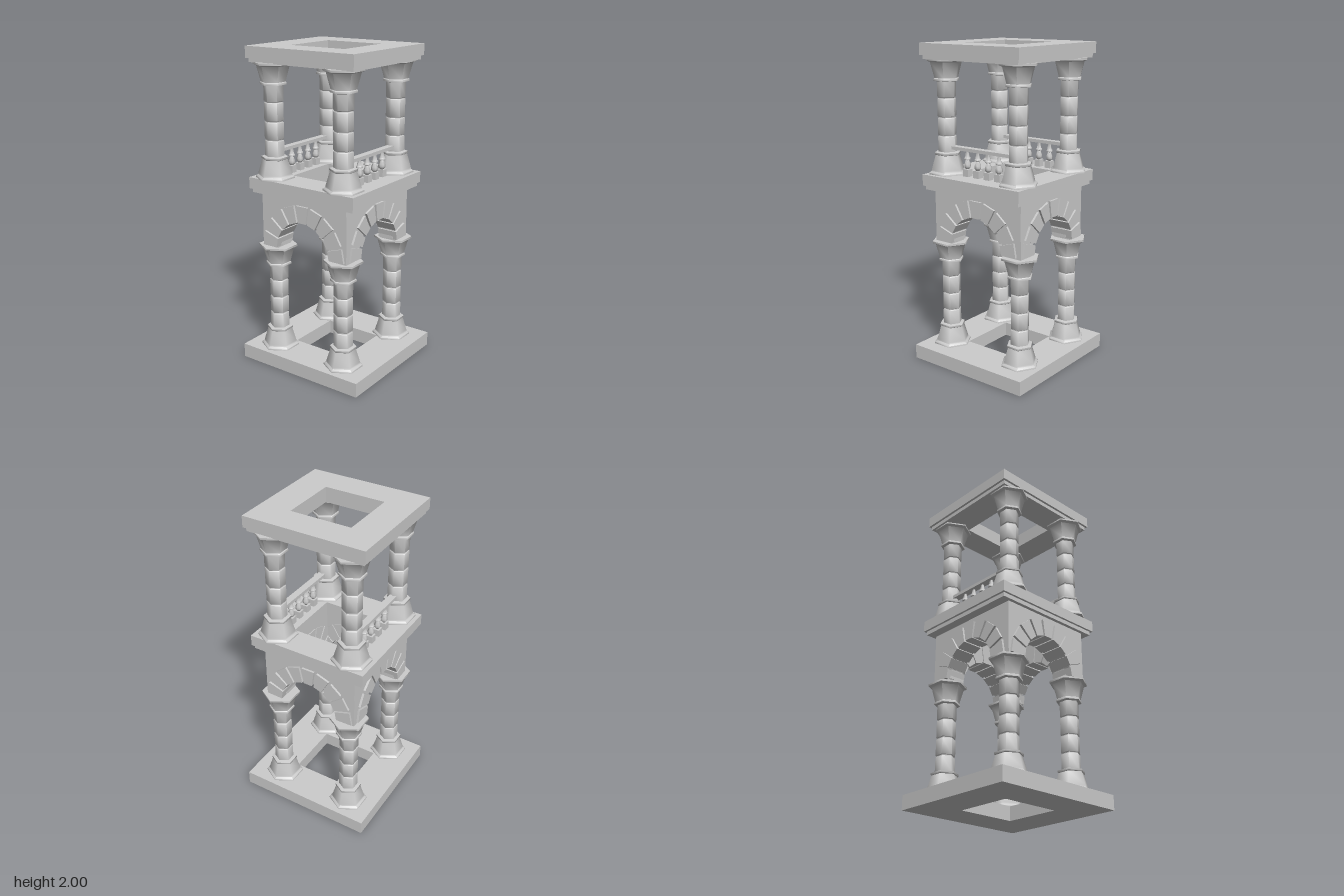
import * as THREE from 'three';
import { toCreasedNormals } from 'three/addons/utils/BufferGeometryUtils.js';

const grey = new THREE.MeshStandardMaterial({ color: 0xcccccc });

function add(parent, name, geometry, x = 0, y = 0, z = 0) {
  const mesh = new THREE.Mesh(geometry, grey);
  mesh.name = name;
  mesh.position.set(x, y, z);
  parent.add(mesh);
  return mesh;
}

// Flat rectangular slab with a square well through its middle
function slab(w, d, h) {
  const rect = (P, a, b) => new P([[-a, -b], [a, -b], [a, b], [-a, b]].map(p => new THREE.Vector2(...p)));
  const shape = rect(THREE.Shape, w / 2, d / 2);
  shape.holes.push(rect(THREE.Path, 0.183, 0.193));
  return new THREE.ExtrudeGeometry(shape, { depth: h, bevelEnabled: false }).rotateX(-Math.PI / 2);
}

// Six-sided turned part with a corner pointing along x
function turned(profile) {
  const points = profile.map(p => new THREE.Vector2(...p));
  return toCreasedNormals(new THREE.LatheGeometry(points, 6, Math.PI / 2), 1.1);
}

// Column: flared foot, shaft of four drums, flared capital
function columnGeometry() {
  const profile = [[0, 0], [0.121, 0], [0.121, 0.012], [0.106, 0.02], [0.104, 0.03],
    [0.078, 0.118], [0.083, 0.121], [0.083, 0.133], [0.06, 0.138]];
  for (const y of [0.235, 0.345, 0.46]) {
    profile.push([0.059, y - 0.006], [0.053, y - 0.002], [0.053, y + 0.002], [0.059, y + 0.006]);
  }
  profile.push([0.06, 0.558], [0.08, 0.562], [0.08, 0.574], [0.074, 0.578],
    [0.1, 0.672], [0.12, 0.68], [0.12, 0.692], [0, 0.692]);
  return turned(profile);
}

// Wall panel with a round arch; its outer face is at z = 0
function archWall(halfLength, height, thickness) {
  const shape = new THREE.Shape();
  shape.moveTo(-halfLength, 0);
  shape.lineTo(-0.207, 0);
  shape.absarc(0, 0, 0.207, Math.PI, 0, true);
  shape.lineTo(halfLength, 0);
  shape.lineTo(halfLength, height);
  shape.lineTo(-halfLength, height);
  shape.closePath();
  return new THREE.ExtrudeGeometry(shape, { depth: thickness, bevelEnabled: false, curveSegments: 20 })
    .translate(0, 0, -thickness);
}

// One wedge-shaped arch stone, centred on the +x axis
function archStone(depth) {
  const a = 0.145;
  const shape = new THREE.Shape();
  shape.moveTo(0.198 * Math.cos(a), -0.198 * Math.sin(a));
  shape.lineTo(0.304 * Math.cos(a), -0.304 * Math.sin(a));
  shape.lineTo(0.304 * Math.cos(a), 0.304 * Math.sin(a));
  shape.lineTo(0.198 * Math.cos(a), 0.198 * Math.sin(a));
  shape.closePath();
  return new THREE.ExtrudeGeometry(shape, { depth, bevelEnabled: false });
}

export function createModel() {
  const model = new THREE.Group();
  model.name = 'tower';
  const tower = new THREE.Group();
  tower.name = 'towerBody';
  tower.rotation.y = -0.008;
  model.add(tower);
  const cx = -0.008, cz = -0.005;

  // Base and the two stepped floors
  add(tower, 'baseSlab', slab(0.843, 0.882, 0.09));
  for (const [name, y] of [['middle', 1.115], ['top', 1.905]]) {
    add(tower, name + 'Cornice', slab(0.71, 0.745, 0.026), cx, y, cz);
    add(tower, name + 'Slab', slab(0.738, 0.773, 2 - 1.93), cx, y + 0.025, cz);
  }

  // Four columns on each storey
  const column = columnGeometry();
  for (const [name, y, sx, sz, ox] of [
    ['lowerColumn', 0.088, 0.274, 0.25, -0.003], ['upperColumn', 1.208, 0.273, 0.255, -0.012]]) {
    for (const i of [-1, 1]) {
      for (const j of [-1, 1]) {
        const c = add(tower, name, column, ox + i * sx, y, cz + j * sz);
        if (y > 1) c.scale.y = 1.012;
      }
    }
  }

  // Arcade: a wall with nine arch stones on each side
  for (let side = 0; side < 4; side++) {
    const alongX = side % 2 === 0;
    const halfLength = alongX ? 0.332 : 0.314;
    const offset = alongX ? 0.315 : 0.333;
    const thickness = offset - 0.2;
    const arcade = new THREE.Group();
    arcade.name = 'arcadeSide';
    arcade.rotation.y = side * Math.PI / 2;
    arcade.position.set(cx, 0.78, cz);
    tower.add(arcade);
    add(arcade, 'archWall', archWall(halfLength, 0.337, thickness), 0, 0, offset);
    const stone = archStone(thickness + 0.02);
    for (let k = 0; k < 9; k++) {
      const s = add(arcade, 'archStone', stone, 0, 0.002, offset - thickness - 0.006);
      s.rotation.z = (10 + 20 * k) * Math.PI / 180;
    }
  }

  // Balustrades at front and back of the upper storey
  const baluster = turned([[0.011, 0.045], [0.021, 0.058], [0.021, 0.075], [0.014, 0.092],
    [0.011, 0.1], [0.021, 0.104], [0.021, 0.112], [0.015, 0.118], [0.009, 0.152], [0.014, 0.158], [0.014, 0.165]]);
  const foot = new THREE.BoxGeometry(0.042, 0.045, 0.042);
  for (const j of [-1, 1]) {
    const rail = new THREE.Group();
    rail.name = 'balustrade';
    rail.position.set(-0.004, 1.21, cz + j * 0.255);
    tower.add(rail);
    add(rail, 'handrail', new THREE.BoxGeometry(0.46, 0.02, 0.045), 0, 0.165, 0);
    for (let k = 0; k < 4; k++) {
      const x = (k - 1.5) * 0.081;
      add(rail, 'balusterFoot', foot, x, 0.0225, 0);
      add(rail, 'baluster', baluster, x, 0, 0);
    }
  }
  return model;
}
